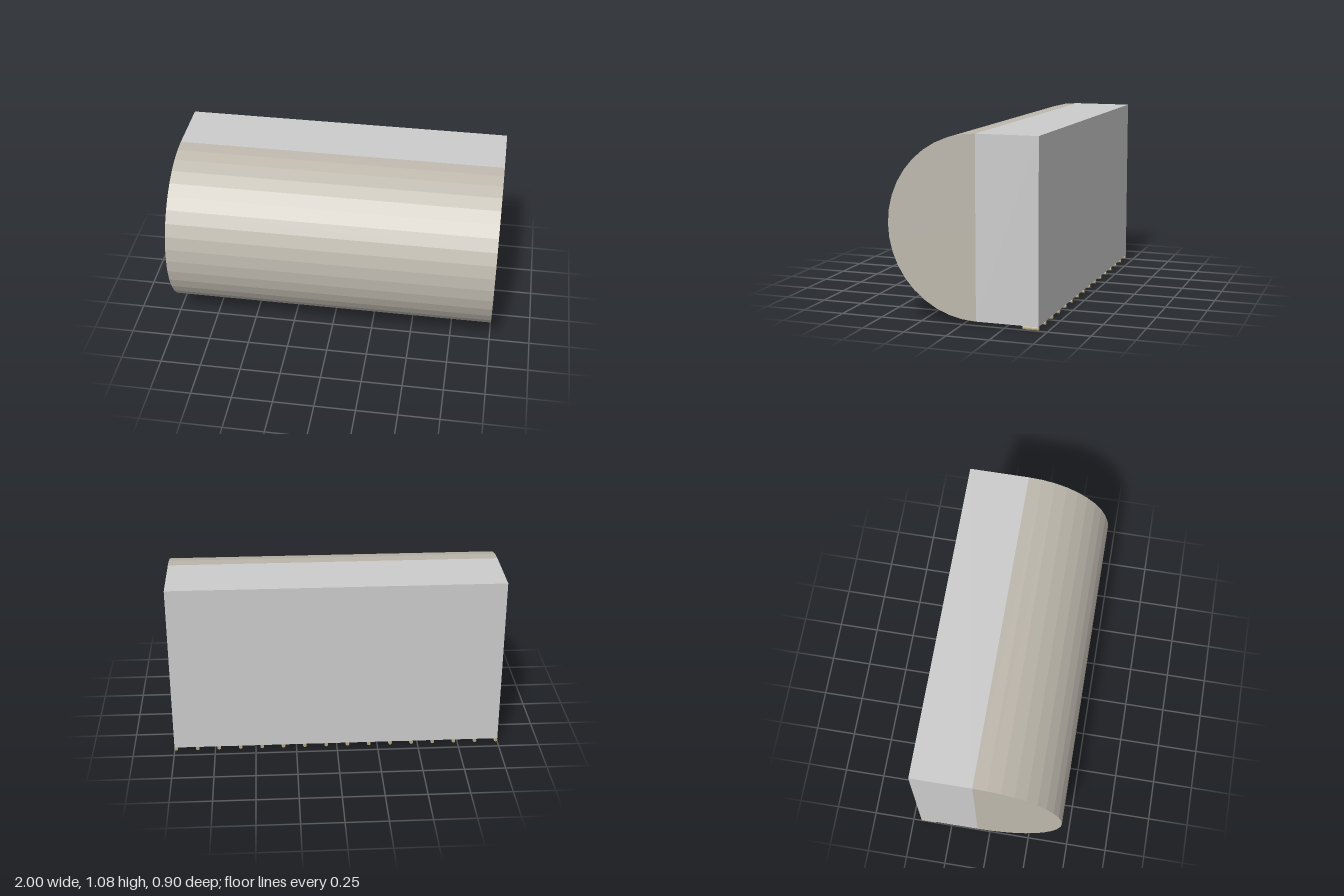
import * as THREE from 'three';

const RADIUS = 0.53, CENTER_Y = 0.553, SEAM_Z = -0.08, BACK_Z = -0.448;
const PIN_COUNT = 16, PIN_RADIUS = 0.0115, PIN_FRONT_Z = -0.355;

const material = (color) => new THREE.MeshStandardMaterial({ color, flatShading: true });

function addMesh(group, name, geometry, mat, x, y, z) {
  const mesh = new THREE.Mesh(geometry, mat);
  mesh.name = name;
  mesh.position.set(x, y, z);
  group.add(mesh);
}

export function createModel() {
  const model = new THREE.Group();
  model.name = 'roundFrontedBlock';

  // rectangular back body
  const depth = SEAM_Z - BACK_Z;
  addMesh(model, 'backBody', new THREE.BoxGeometry(2, RADIUS * 2, depth),
    material(0xcccccc), 0, CENTER_Y, BACK_Z + depth / 2);

  // half-cylinder front, faceted, lying along x
  const front = new THREE.CylinderGeometry(RADIUS, RADIUS, 2, 20, 1, false, -Math.PI / 2, Math.PI);
  front.rotateZ(Math.PI / 2);
  addMesh(model, 'roundedFront', front, material(0xbeb8ad), 0, CENTER_Y, SEAM_Z);

  // row of short pins under the back edge
  const pins = new THREE.Group();
  pins.name = 'pins';
  const length = PIN_FRONT_Z - BACK_Z;
  const pin = new THREE.CylinderGeometry(PIN_RADIUS, PIN_RADIUS, length, 12);
  pin.rotateX(Math.PI / 2);
  const pinMaterial = material(0xb5a882);
  for (let i = 0; i < PIN_COUNT; i++) {
    const x = THREE.MathUtils.lerp(-0.99, 0.99, i / (PIN_COUNT - 1));
    addMesh(pins, 'pin', pin, pinMaterial, x, PIN_RADIUS, BACK_Z + length / 2);
  }
  model.add(pins);
  return model;
}
